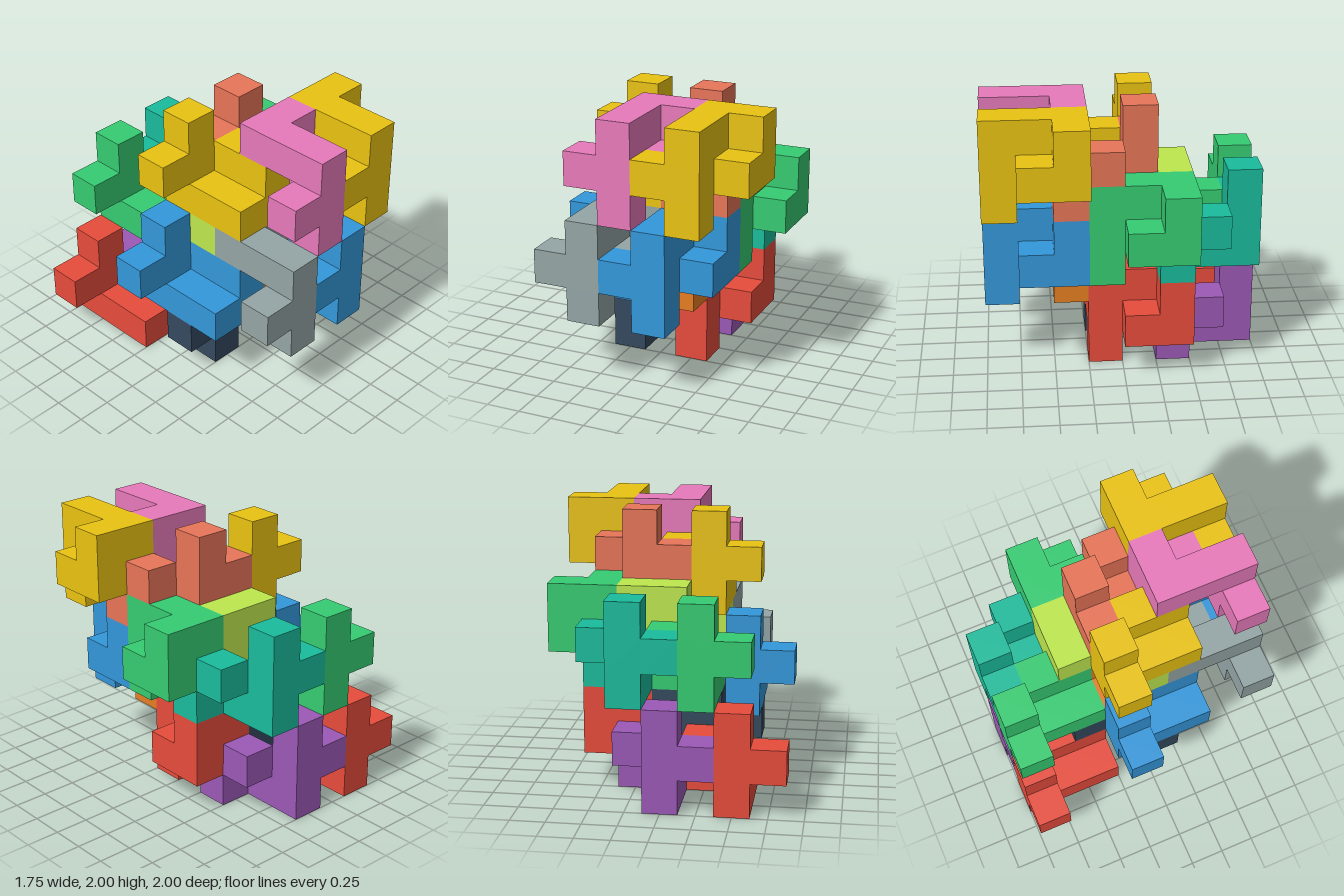
import * as THREE from 'three';
import { mergeGeometries } from 'three/addons/utils/BufferGeometryUtils.js';

const UNIT = 0.25;

// Nine cubes of one interlocking piece, measured from its corner cube:
// a bar running back, a T hanging at the front and a hook at the rear.
const CELLS = [
  [0, 0, 0], [0, 0, -1], [0, 0, -2],
  [0, -1, 0], [0, -2, 0], [-1, -1, 0],
  [1, 0, -2], [1, -1, -2], [1, -1, -1],
];

const DIRECTIONS = [
  [1, 0, 0], [-1, 0, 0], [0, 1, 0], [0, -1, 0], [0, 0, 1], [0, 0, -1],
];

// Outer skin of a piece: one square for every cube side without a neighbour
function pieceGeometry(cells) {
  const filled = new Set(cells.map(String));
  const forward = new THREE.Vector3(0, 0, 1);
  const faces = [];
  for (const cell of cells) {
    for (const dir of DIRECTIONS) {
      if (filled.has(String(cell.map((c, n) => c + dir[n])))) continue;
      const d = new THREE.Vector3(...dir);
      const turn = new THREE.Quaternion().setFromUnitVectors(forward, d);
      const centre = new THREE.Vector3(...cell).addScaledVector(d, 0.5).multiplyScalar(UNIT);
      faces.push(new THREE.PlaneGeometry(UNIT, UNIT)
        .applyQuaternion(turn)
        .translate(centre.x, centre.y, centre.z));
    }
  }
  return mergeGeometries(faces);
}

// Each layer is a 2 x 2 set of pieces: upper left, upper right, lower left, lower right
const LAYERS = [
  { name: 'frontHanging', flipped: false, start: [5, 7, 7], colors: [0xeac312, 0xe87abb, 0x3498db, 0x95a5a6] },
  { name: 'middleHanging', flipped: false, start: [5, 5, 4], colors: [0x36cc72, 0xbee84e, 0xe74c3c, 0x34495e] },
  { name: 'middleStanding', flipped: true, start: [4, 5, 3], colors: [0xe87558, 0xeac312, 0xe67e22, 0x3498db] },
  { name: 'backStanding', flipped: true, start: [4, 3, 0], colors: [0x1abc9c, 0x36cc72, 0x9b59b6, 0xe74c3c] },
];

export function createModel() {
  const model = new THREE.Group();
  model.name = 'interlockingBlocks';

  // The standing piece is the hanging one turned half way round the x axis
  const hanging = pieceGeometry(CELLS);
  const standing = pieceGeometry(CELLS.map(([x, y, z]) => [x, 0 - y, 0 - z]));

  for (const { name, flipped, start, colors } of LAYERS) {
    colors.forEach((color, n) => {
      const column = n % 2;
      const row = Math.floor(n / 2);
      const piece = new THREE.Mesh(
        flipped ? standing : hanging,
        new THREE.MeshStandardMaterial({ color }),
      );
      piece.name = `${name}${row ? 'Lower' : 'Upper'}${column ? 'Right' : 'Left'}Piece`;
      // Pieces repeat two cubes across, and one across and three down
      piece.position.set(
        (start[0] - 2 * column - row - 3) * UNIT,
        (start[1] - 3 * row + 0.5) * UNIT,
        (start[2] - 3.5) * UNIT,
      );
      model.add(piece);
    });
  }
  return model;
}
